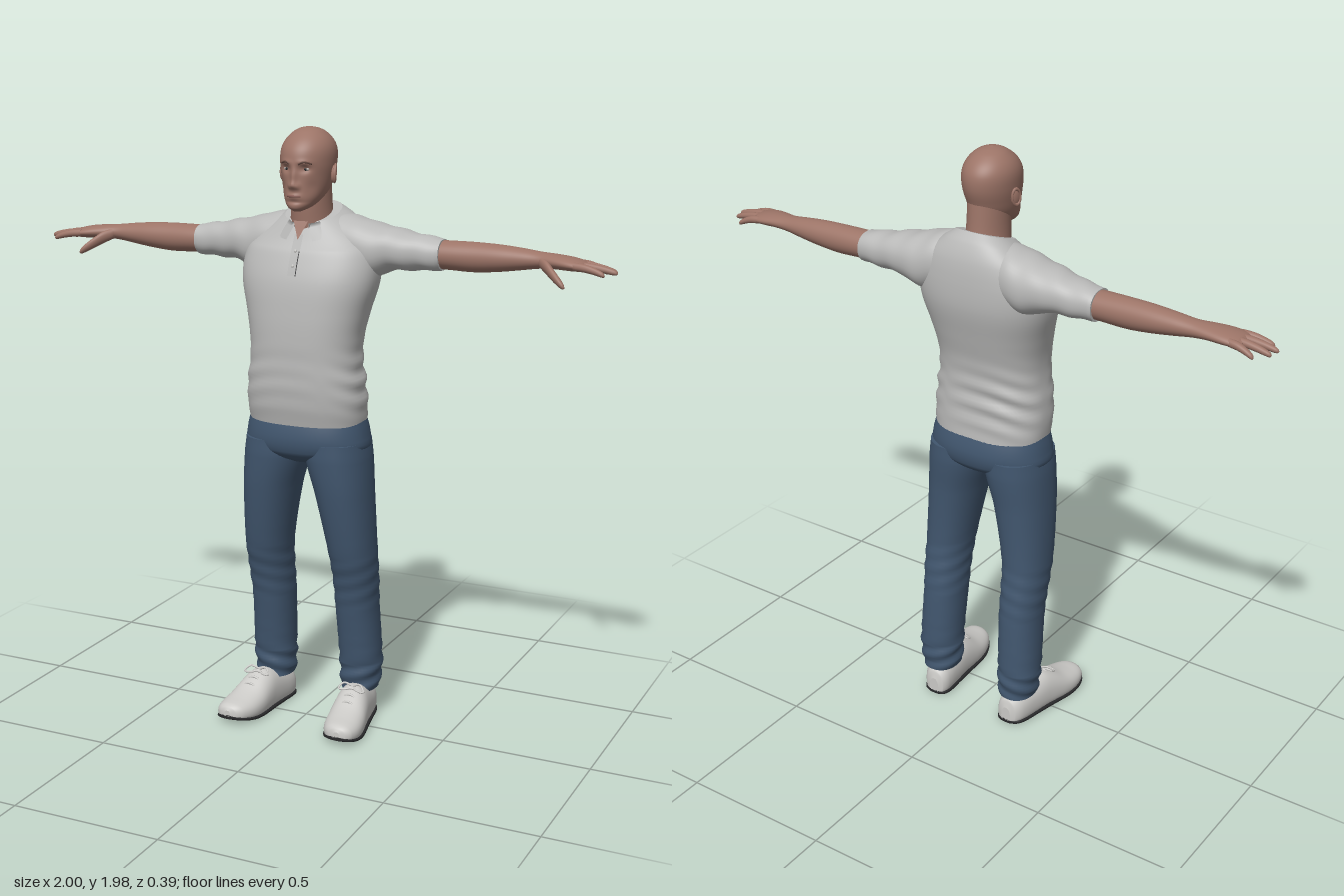
import * as THREE from 'three';

const mat = (name, color, side = THREE.FrontSide) => {
  const m = new THREE.MeshStandardMaterial({ color, side });
  m.name = name;
  return m;
};

// Smooth interpolation of cross-section keys [t, c1, c2, r1, r2]
function sample(keys, t) {
  let i = 0;
  while (i < keys.length - 2 && t > keys[i + 1][0]) i++;
  const a = keys[i], b = keys[i + 1], h = b[0] - a[0], s = (t - a[0]) / h;
  const slope = (k, c) => {
    const p = keys[Math.max(k - 1, 0)], q = keys[Math.min(k + 1, keys.length - 1)];
    return (q[c] - p[c]) / (q[0] - p[0]);
  };
  return a.map((v, c) => c === 0 ? t
    : (2 * s ** 3 - 3 * s * s + 1) * v + (s ** 3 - 2 * s * s + s) * h * slope(i, c)
    + (3 * s * s - 2 * s ** 3) * b[c] + (s ** 3 - s * s) * h * slope(i + 1, c));
}

// Closed skin over superellipse rings along an axis, with capped ends
function loft(keys, axis, { seg = 40, sub = 4, power = 2, deform } = {}) {
  const pos = [], idx = [], ts = [], v = new THREE.Vector3();
  keys.forEach((k, i) => {
    if (i) for (let s = 1; s <= sub; s++) ts.push(keys[i - 1][0] + (k[0] - keys[i - 1][0]) * s / sub);
    else ts.push(k[0]);
  });
  const place = (t, u, w, a) => {
    if (axis === 'x') v.set(t, u, w);
    else if (axis === 'y') v.set(u, t, w);
    else v.set(u, w, t);
    if (deform) deform(v, a, t);
    pos.push(v.x, v.y, v.z);
  };
  const tri = (a, b, c) => axis === 'y' ? idx.push(a, c, b) : idx.push(a, b, c);
  const pw = (x) => Math.sign(x) * Math.abs(x) ** (2 / power);
  const ring = (t) => {
    const [, c1, c2, r1, r2] = sample(keys, t);
    for (let j = 0; j < seg; j++) {
      const a = j / seg * Math.PI * 2;
      place(t, c1 + r1 * pw(Math.cos(a)), c2 + r2 * pw(Math.sin(a)), a);
    }
  };
  ts.forEach(ring);
  for (let i = 0; i < ts.length - 1; i++) for (let j = 0; j < seg; j++) {
    const a = i * seg + j, b = i * seg + (j + 1) % seg;
    tri(a, b, b + seg); tri(a, b + seg, a + seg);
  }
  [ts[0], ts[ts.length - 1]].forEach((t, end) => {
    const base = pos.length / 3, k = sample(keys, t);
    ring(t);
    place(t, k[1], k[2], 0);
    for (let j = 0; j < seg; j++) {
      const a = base + j, b = base + (j + 1) % seg;
      end ? tri(a, b, base + seg) : tri(b, a, base + seg);
    }
  });
  const g = new THREE.BufferGeometry();
  g.setAttribute('position', new THREE.Float32BufferAttribute(pos, 3));
  g.setIndex(idx);
  g.computeVertexNormals();
  return g;
}

function mirror(geo) {
  const g = geo.clone().scale(-1, 1, 1), ix = g.index.array;
  for (let i = 0; i < ix.length; i += 3) [ix[i], ix[i + 1]] = [ix[i + 1], ix[i]];
  return g;
}

// Keys given as [y, halfWidth, front z, back z]
const frontBack = (rows) => rows.map(([y, w, f, b]) => [y, 0, (f + b) / 2, w, (f - b) / 2]);
const ball = (x, y, z, sx, sy, sz) => new THREE.SphereGeometry(1, 24, 16).scale(sx, sy, sz).translate(x, y, z);
const tube = (pts, r, n = 16) => new THREE.TubeGeometry(
  new THREE.CatmullRomCurve3(pts.map((p) => new THREE.Vector3(...p))), n, r, 8);

export function createModel() {
  const root = new THREE.Group();
  root.name = 'standingMan';
  const skin = mat('skin', 0x9c7467), shirt = mat('shirtGrey', 0xb9b9b8), denim = mat('denim', 0x41566e);
  const collarMat = mat('collarGrey', 0xb4b4b3, THREE.DoubleSide), shoe = mat('shoeWhite', 0xcbcac7);
  const dark = mat('soleBlack', 0x29292b), brow = mat('browBrown', 0x654a41);
  const eye = mat('eyeWhite', 0xb5aaa4), lip = mat('lipRose', 0x8a6058);
  const add = (name, geo, m) => {
    const mesh = new THREE.Mesh(geo, m);
    mesh.name = name;
    root.add(mesh);
  };
  const pair = (name, geo, m) => {
    add('left' + name, geo, m);
    add('right' + name, mirror(geo), m);
  };

  // Head with sculpted face
  const headKeys = frontBack([
    [1.724, 0.012, 0.078, 0.04], [1.735, 0.034, 0.092, 0.0], [1.755, 0.053, 0.094, -0.05],
    [1.785, 0.068, 0.091, -0.095], [1.83, 0.079, 0.089, -0.118], [1.87, 0.085, 0.091, -0.13],
    [1.91, 0.085, 0.084, -0.129], [1.94, 0.074, 0.064, -0.113], [1.965, 0.051, 0.032, -0.083],
    [1.977, 0.028, 0.006, -0.054], [1.982, 0.003, -0.02, -0.026]]);
  const bump = (x, y, cx, cy, sx, sy, amp) => amp * Math.exp(-(((x - cx) / sx) ** 2) - ((y - cy) / sy) ** 2);
  const face = (x, y) => {
    const ax = Math.abs(x);
    return bump(x, y, 0, 1.83, 0.010, 0.026, 0.010) + bump(x, y, 0, 1.806, 0.013, 0.012, 0.013)
      + bump(ax, y, 0.014, 1.803, 0.007, 0.008, 0.006) + bump(ax, y, 0.032, 1.857, 0.017, 0.012, -0.011)
      + bump(ax, y, 0.03, 1.877, 0.022, 0.008, 0.004) + bump(x, y, 0, 1.773, 0.022, 0.009, 0.005)
      + bump(x, y, 0, 1.755, 0.03, 0.006, -0.004) + bump(ax, y, 0.05, 1.8, 0.014, 0.02, -0.004);
  };
  const faceZ = (x, y) => {
    const [, , c, w, d] = sample(headKeys, y);
    return c + d * Math.sqrt(Math.max(0, 1 - (x / w) ** 2)) + face(x, y);
  };
  add('head', loft(headKeys, 'y', {
    seg: 128, sub: 8, deform: (v) => { if (v.z > 0.02) v.z += face(v.x, v.y) * Math.min(1, (v.z - 0.02) / 0.03); },
  }), skin);
  add('neck', loft(frontBack([[1.63, 0.075, 0.03, -0.135], [1.69, 0.067, 0.036, -0.13],
    [1.74, 0.063, 0.04, -0.122], [1.82, 0.062, 0.04, -0.115]]), 'y'), skin);
  pair('Ear', ball(0, 0, 0, 0.008, 0.027, 0.017).rotateY(0.35).rotateX(-0.15).translate(0.084, 1.836, -0.022), skin);
  pair('EarRim', new THREE.TorusGeometry(0.02, 0.0045, 8, 24).scale(0.75, 1.3, 1).rotateY(Math.PI / 2 + 0.35)
    .rotateX(-0.15).translate(0.089, 1.838, -0.024), skin);
  const ez = faceZ(0.032, 1.856);
  pair('Eye', ball(0.032, 1.856, ez - 0.002, 0.012, 0.0055, 0.005), eye);
  pair('Iris', ball(0.032, 1.856, ez + 0.0015, 0.0048, 0.0048, 0.002), dark);
  pair('Eyebrow', tube([[0.014, 1.872], [0.03, 1.879], [0.052, 1.873]].map(([x, y]) => [x, y, faceZ(x, y) - 0.001]), 0.003), brow);
  add('lips', tube([-0.022, -0.01, 0, 0.01, 0.022].map((x) => [x, 1.773, faceZ(x, 1.773) - 0.002]), 0.0042), lip);

  // Shirt body with soft folds
  const torsoKeys = frontBack([
    [1.04, 0.196, 0.112, -0.15], [1.10, 0.2, 0.125, -0.147], [1.18, 0.194, 0.132, -0.142],
    [1.25, 0.185, 0.132, -0.14], [1.32, 0.187, 0.132, -0.147], [1.4, 0.203, 0.127, -0.166],
    [1.5, 0.228, 0.113, -0.189], [1.58, 0.224, 0.085, -0.192], [1.64, 0.19, 0.055, -0.184],
    [1.685, 0.135, 0.036, -0.162], [1.715, 0.09, 0.022, -0.135]]);
  add('shirtBody', loft(torsoKeys, 'y', {
    seg: 72, sub: 6, power: 2.4, deform: (v, a, t) => {
      const low = Math.exp(-(((t - 1.18) / 0.09) ** 2)), back = 0.5 - 0.5 * Math.sin(a);
      const f = 1 + low * (0.012 + 0.03 * back) * Math.sin(t * 95 + 2.5 * Math.cos(a * 2)) * Math.abs(Math.cos(a * 1.5));
      v.x *= f; v.z *= f;
      v.y -= Math.max(0, (t - 1.6) / 0.115) * (v.z + 0.06) * 0.35;
    },
  }), shirt);
  pair('Sleeve', loft([
    [0.07, 1.62, -0.075, 0.085, 0.08], [0.14, 1.61, -0.08, 0.093, 0.095], [0.2, 1.597, -0.083, 0.089, 0.095],
    [0.27, 1.603, -0.087, 0.069, 0.083], [0.35, 1.597, -0.092, 0.058, 0.067], [0.42, 1.594, -0.094, 0.051, 0.057],
    [0.432, 1.594, -0.094, 0.049, 0.055]], 'x', {
    sub: 6, power: 2.2, deform: (v, a, t) => { v.y += 0.002 * Math.sin(t * 70 + 2 * Math.sin(a)); },
  }), shirt);

  // Folded collar: inner stand rises, leaf drops outward to pointed fronts
  const leaf = [], leafIdx = [], nu = 48, nv = 6;
  for (let i = 0; i <= nu; i++) for (let j = 0; j <= nv; j++) {
    const a = -Math.PI + 0.3 + (2 * Math.PI - 0.6) * i / nu, s = j / nv, up = s < 0.34;
    const k = up ? 0.1 * s : (s - 0.34) / 0.66, back = 0.5 + 0.5 * Math.cos(a);
    const tip = Math.max(0, Math.abs(a) / Math.PI - 0.6) * 2.5;
    const y = 1.682 + 0.057 * back + (up ? -0.05 * (1 - s / 0.34) : -(0.038 + 0.02 * tip) * k);
    leaf.push(Math.sin(a) * (0.074 + (0.042 + 0.05 * tip) * k), y, -0.045 - Math.cos(a) * (0.08 + 0.022 * k));
    if (i < nu && j < nv) {
      const p = i * (nv + 1) + j;
      leafIdx.push(p, p + 1, p + nv + 2, p, p + nv + 2, p + nv + 1);
    }
  }
  const collar = new THREE.BufferGeometry();
  collar.setAttribute('position', new THREE.Float32BufferAttribute(leaf, 3));
  collar.setIndex(leafIdx);
  collar.computeVertexNormals();
  add('collar', collar, collarMat);

  // Button placket and open throat
  const frontZ = (y) => { const k = sample(torsoKeys, y); return k[2] + k[4]; };
  const strip = (y0, y1, w0, w1, lift) => {
    const g = new THREE.PlaneGeometry(1, 1, 1, 8), p = g.attributes.position;
    for (let i = 0; i < p.count; i++) {
      const s = p.getY(i) + 0.5, y = y0 + (y1 - y0) * s;
      p.setXYZ(i, p.getX(i) * (w0 + (w1 - w0) * s), y, frontZ(y) + lift);
    }
    g.computeVertexNormals();
    return g;
  };
  add('placket', strip(1.525, 1.65, 0.03, 0.03, 0.003), collarMat);
  add('placketSeam', strip(1.525, 1.6, 0.003, 0.003, 0.005).translate(0.014, 0, 0), dark);
  add('throat', strip(1.635, 1.69, 0.002, 0.05, 0.006), skin);
  [1.555, 1.6].forEach((y) => add('button', ball(0, y, frontZ(y) + 0.004, 0.005, 0.005, 0.003), shoe));

  // Arms running into the palms
  pair('Arm', loft([
    [0.38, 1.594, -0.094, 0.044, 0.048], [0.46, 1.593, -0.094, 0.046, 0.048], [0.54, 1.592, -0.095, 0.047, 0.046],
    [0.62, 1.594, -0.095, 0.042, 0.044], [0.69, 1.596, -0.095, 0.034, 0.039], [0.75, 1.597, -0.093, 0.026, 0.035],
    [0.8, 1.597, -0.086, 0.023, 0.043], [0.85, 1.594, -0.08, 0.021, 0.051], [0.89, 1.59, -0.077, 0.016, 0.05],
    [0.905, 1.588, -0.077, 0.009, 0.045]], 'x'), skin);
  // Fingers: root z, tip x, tip z, tip y
  [[-0.115, 0.952, -0.125, 1.567], [-0.09, 0.992, -0.093, 1.573], [-0.064, 1.0, -0.062, 1.576],
    [-0.04, 0.97, -0.026, 1.572]].forEach(([z, tx, tz, ty]) => {
    const at = (s, r) => [0.87 + (tx - 0.87) * s, 1.592 + (ty - 1.592) * s * s, z + (tz - z) * s, r, r];
    pair('Finger', loft([at(0, 0.013), at(0.35, 0.0125), at(0.65, 0.011), at(0.88, 0.009), at(0.97, 0.006), at(1, 0.001)],
      'x', { seg: 14 }), skin);
  });
  pair('Thumb', loft([[0.755, 1.594, -0.07, 0.016, 0.014], [0.785, 1.582, -0.045, 0.02, 0.018],
    [0.81, 1.565, -0.025, 0.018, 0.016], [0.835, 1.547, -0.009, 0.014, 0.013], [0.85, 1.536, -0.002, 0.009, 0.008],
    [0.856, 1.532, 0.0, 0.001, 0.001]], 'x', { seg: 18 }), skin);

  // Jeans: hips and two legs
  add('hips', loft(frontBack([[0.905, 0.05, 0.05, -0.1], [0.925, 0.13, 0.09, -0.135], [0.95, 0.203, 0.112, -0.155],
    [1.0, 0.208, 0.119, -0.161], [1.07, 0.192, 0.105, -0.143]]), 'y', { seg: 56, power: 2.3 }), denim);
  pair('Leg', loft([
    [0.1, 0.158, -0.098, 0.062, 0.067], [0.13, 0.159, -0.098, 0.066, 0.071], [0.2, 0.161, -0.096, 0.07, 0.075],
    [0.4, 0.155, -0.076, 0.07, 0.085], [0.5, 0.156, -0.06, 0.072, 0.09], [0.6, 0.153, -0.04, 0.076, 0.098],
    [0.8, 0.131, -0.023, 0.091, 0.118], [0.92, 0.111, -0.022, 0.104, 0.13], [0.98, 0.107, -0.022, 0.1, 0.13]], 'y', {
    sub: 8, power: 2.2, deform: (v, a, t) => {
      const fold = 0.004 * Math.exp(-(((t - 0.16) / 0.1) ** 2)) + 0.002 * Math.exp(-(((t - 0.5) / 0.1) ** 2));
      v.x += fold * Math.sin(t * 110 + 2 * a) * Math.cos(a);
      v.z += fold * Math.sin(t * 110 + 2 * a) * Math.sin(a);
    },
  }), denim);

  // Shoes: [z, half width, height], toes turned out, tip lifted
  const last = [[-0.166, 0.018, 0.06], [-0.158, 0.036, 0.088], [-0.13, 0.049, 0.108], [-0.07, 0.054, 0.122],
    [-0.01, 0.058, 0.135], [0.03, 0.062, 0.122], [0.08, 0.066, 0.094], [0.13, 0.064, 0.074], [0.17, 0.051, 0.058],
    [0.188, 0.033, 0.044], [0.195, 0.012, 0.03]];
  const bend = (v) => {
    v.y += 1.5 * Math.max(0, v.z - 0.08) ** 2;
    v.x += 0.163 + 0.14 * (v.z + 0.08);
  };
  pair('ShoeUpper', loft(last.map(([z, w, h]) => [z, 0, h * 0.4, w, h * 0.6]), 'z', {
    power: 2.2, deform: (v) => { v.y = Math.max(v.y, 0.01); bend(v); },
  }), shoe);
  pair('ShoeSole', loft(last.map(([z, w]) => [z, 0, 0.007, w + 0.002, 0.007]), 'z', { power: 4, deform: bend }), dark);
  const laced = (x, y, z) => { const v = new THREE.Vector3(x, y, z); bend(v); return v.toArray(); };
  [0.015, 0.04, 0.065].forEach((z) => {
    const h = sample(last.map(([k, w, t]) => [k, w, t]), z)[2];
    pair('Lace', tube([[-0.034, h - 0.016], [0, h + 0.002], [0.034, h - 0.016]].map(([x, y]) => laced(x, y, z)), 0.004), shoe);
  });
  [-1, 1].forEach((s) => pair('LaceBow', tube([laced(0, 0.136, 0.005), laced(s * 0.03, 0.146, 0.012),
    laced(s * 0.045, 0.128, 0.025), laced(s * 0.02, 0.128, 0.022), laced(0, 0.134, 0.01)], 0.0035, 24), shoe));

  return root;
}
